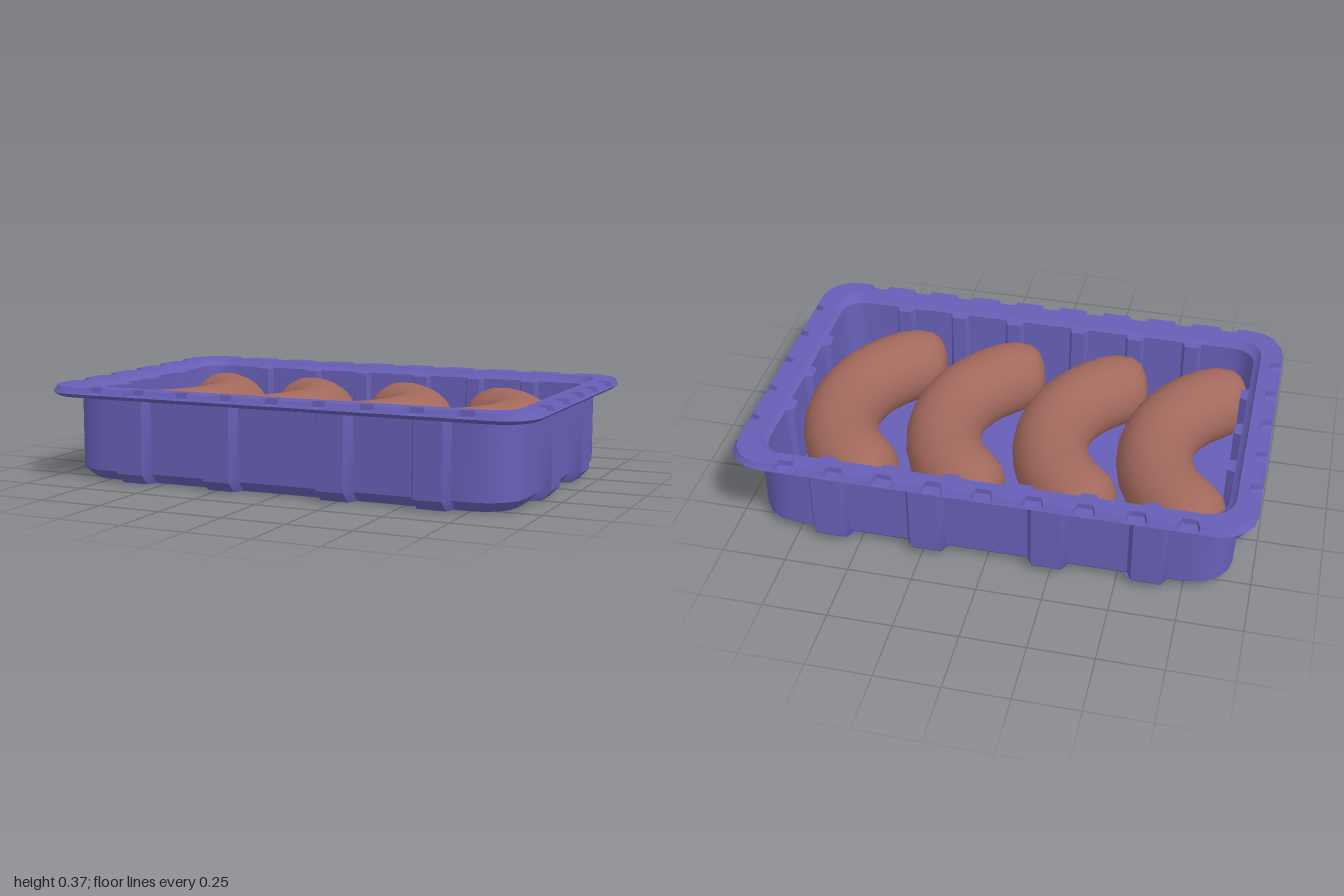
import * as THREE from 'three';
import { mergeVertices, toCreasedNormals } from 'three/addons/utils/BufferGeometryUtils.js';

const trayMat = new THREE.MeshStandardMaterial({ name: 'trayPurple', color: 0x675fb6 });
const sausageMat = new THREE.MeshStandardMaterial({ name: 'sausageBrown', color: 0xa3695d });

// Rounded rectangle with trapezoid ribs (d > 0) or notches (d < 0) along its sides
function outline(hx, hz, r, feat, d) {
  const pts = [];
  for (let q = 0; q < 4; q++) {
    const a = q * Math.PI / 2, c = Math.round(Math.cos(a)), s = Math.round(Math.sin(a));
    const along = q % 2 ? hx : hz, out = q % 2 ? hz : hx;
    const add = (u, v) => pts.push([c * v - s * u, s * v + c * u]);
    for (const m of q % 2 ? feat.x : feat.z) {
      add(m - feat.base, out);
      add(m - feat.tip, out + d);
      add(m + feat.tip, out + d);
      add(m + feat.base, out);
    }
    for (let i = 0; i <= 4; i++) {
      const t = i * Math.PI / 8;
      add(along - r + r * Math.sin(t), out - r + r * Math.cos(t));
    }
  }
  return pts;
}

// Skin over levels [y, hx, hz, r, d]; a level of only [y] closes to the centre
function loft(levels, feat) {
  const pos = [], idx = [];
  let n = 0;
  for (const [y, hx, hz, r, d = 0] of levels) {
    const ring = outline(hx ?? 1, hz ?? 1, r ?? 0.1, feat, d);
    n = ring.length;
    for (const [x, z] of ring) pos.push(hx ? x : 0, y, hx ? z : 0);
  }
  for (let l = 0; l < levels.length - 1; l++) {
    for (let i = 0; i < n; i++) {
      const a = l * n + i, b = l * n + (i + 1) % n;
      if (levels[l].length > 1) idx.push(a, a + n, b);
      if (levels[l + 1].length > 1) idx.push(b, a + n, b + n);
    }
  }
  const g = new THREE.BufferGeometry();
  g.setAttribute('position', new THREE.Float32BufferAttribute(pos, 3));
  g.setIndex(idx);
  return toCreasedNormals(g, 0.45);
}

// Lathed sausage bent along a circular arc
function sausageGeometry() {
  const R = 0.449;
  const half = [[0.15, 0.08], [0.15, 0.16], [0.15, 0.24], [0.15, 0.32], [0.149, 0.4],
    [0.143, 0.46], [0.123, 0.515], [0.095, 0.543], [0.05, 0.56], [0, 0.565]];
  const profile = [...half.map(([r, s]) => [r, -s]).reverse(), [0.15, 0], ...half];
  let g = new THREE.LatheGeometry(profile.map(p => new THREE.Vector2(...p)), 28);
  const p = g.attributes.position;
  for (let i = 0; i < p.count; i++) {
    const a = p.getY(i) / R, r = R + p.getX(i);
    p.setXYZ(i, r * Math.cos(a) - R, p.getZ(i), -r * Math.sin(a));
  }
  g.deleteAttribute('uv');
  g.deleteAttribute('normal');
  g = mergeVertices(g, 1e-5);
  g.computeVertexNormals();
  return g;
}

export function createModel() {
  const group = new THREE.Group();
  const add = (name, geo, mat) => {
    const m = new THREE.Mesh(geo, mat);
    m.name = name;
    group.add(m);
    return m;
  };

  // Outer shell with ribs and a bevelled foot
  const ribs = { x: [-0.615, -0.235, 0.235, 0.615], z: [-0.2, 0.2], base: 0.075, tip: 0.055 };
  add('outerShell', loft([
    [0], [0, 0.88, 0.535, 0.13, 0.04], [0.04, 0.92, 0.575, 0.15, 0.04], [0.335, 0.92, 0.575, 0.15, 0.04],
  ], ribs), trayMat);

  // Rim with notched outer edge
  const notches = {
    x: [-4, -3, -2, -1, 0, 1, 2, 3, 4].map(i => i * 0.19),
    z: [-2, -1, 0, 1, 2].map(i => i * 0.197), base: 0.04, tip: 0.027,
  };
  add('rim', loft([
    [0.33, 0.89, 0.54, 0.12], [0.33, 0.98, 0.635, 0.13], [0.345, 1, 0.653, 0.14],
    [0.348, 0.998, 0.651, 0.14, -0.045], [0.37, 0.986, 0.64, 0.13, -0.035],
    [0.37, 0.912, 0.565, 0.1], [0.35, 0.9, 0.552, 0.095], [0.34, 0.885, 0.54, 0.09],
  ], notches), trayMat);

  // Inner wall with small upright teeth, closed by the floor
  const teeth = { x: [-0.62, -0.38, -0.14, 0.14, 0.38, 0.62], z: [-0.23, 0, 0.23], base: 0.04, tip: 0.027 };
  add('innerWallAndFloor', loft([
    [0.34, 0.885, 0.54, 0.09], [0.338, 0.885, 0.54, 0.09, -0.03],
    [0.03, 0.865, 0.52, 0.08, -0.015], [0.03],
  ], teeth), trayMat);

  // Row of curved sausages
  const sausage = sausageGeometry();
  [-0.555, -0.137, 0.3, 0.728].forEach((x, i) => {
    const m = add('sausage' + (i + 1), sausage, sausageMat);
    m.position.set(x, 0.18, -0.003);
    m.rotation.y = -0.015;
  });
  return group;
}
